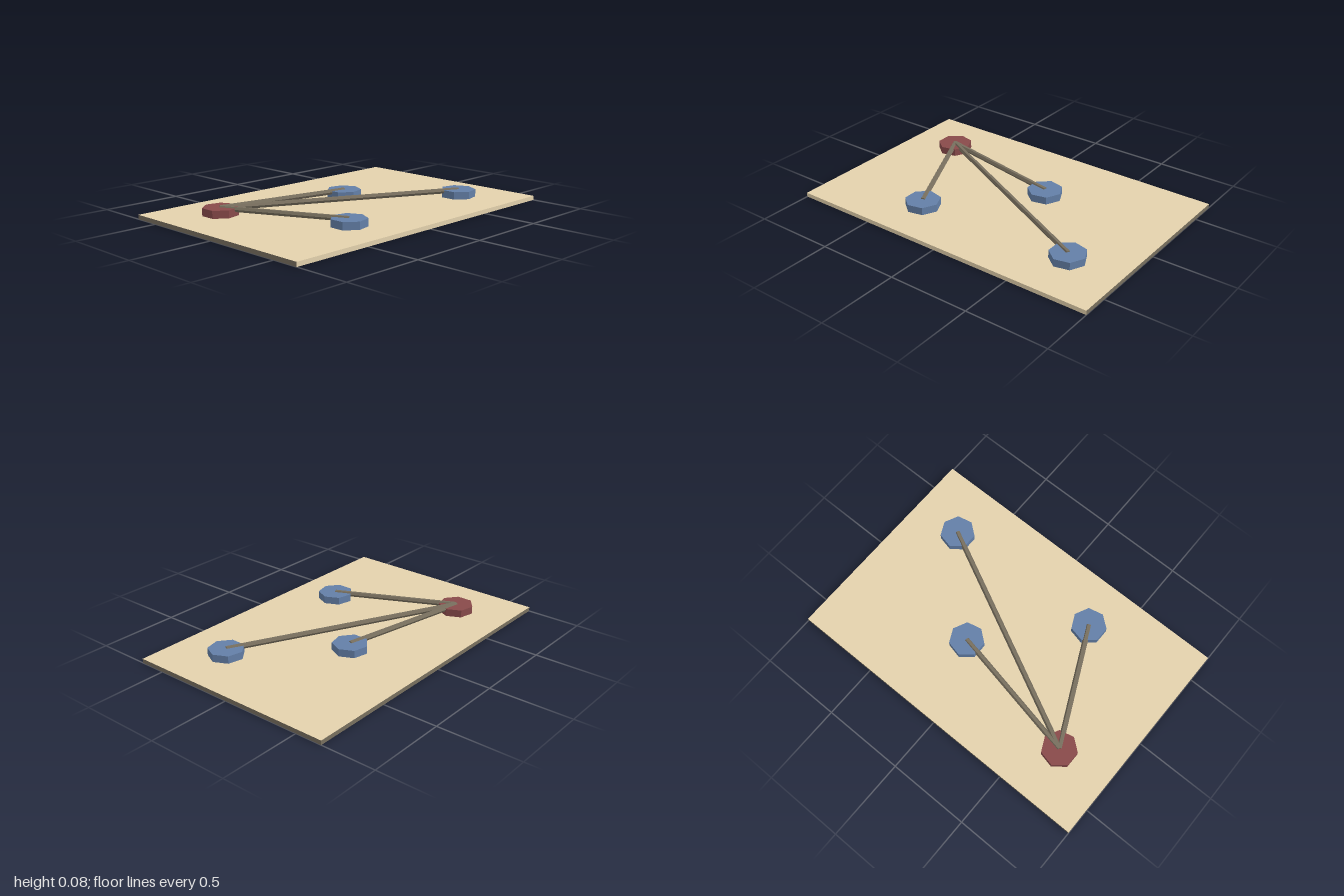
import * as THREE from 'three';

const flat = (name, color) => {
  const m = new THREE.MeshStandardMaterial({ color, flatShading: true });
  m.name = name;
  return m;
};

export function createModel() {
  const model = new THREE.Group();
  model.name = 'boardWithLinkedDiscs';

  const tan = flat('tan', 0xe4d2ad);
  const red = flat('dark red', 0x884a4a);
  const blue = flat('slate blue', 0x637fa7);
  const brown = flat('grey brown', 0x786f5e);

  const add = (name, geometry, material, x, y, z) => {
    const mesh = new THREE.Mesh(geometry, material);
    mesh.name = name;
    mesh.position.set(x, y, z);
    model.add(mesh);
    return mesh;
  };

  // Thin base board: tan top and front edge, brown underside and other edges
  const boardFaces = [brown, brown, tan, brown, tan, brown];
  add('board', new THREE.BoxGeometry(2, 0.026, 1.333), boardFaces, 0, 0.013, 0);

  // Seven-sided discs with one corner pointing to +x
  const disc = new THREE.CylinderGeometry(0.107, 0.107, 0.046, 7, 1, false, Math.PI / 2);
  const hub = [-0.667, -0.334];
  const ends = [[0.167, -0.167], [0.667, 0.333], [-0.334, 0.366]];
  add('hubDisc', disc, red, hub[0], 0.049, hub[1]);

  ends.forEach(([x, z], i) => {
    add(`endDisc${i + 1}`, disc, blue, x, 0.049, z);

    // Six-sided rod from the hub to the disc, flat side up
    const dx = x - hub[0];
    const dz = z - hub[1];
    const rod = new THREE.CylinderGeometry(0.0167, 0.0167, Math.hypot(dx, dz), 6, 1, false, Math.PI / 2);
    rod.rotateX(Math.PI / 2);
    const mesh = add(`rod${i + 1}`, rod, brown, (x + hub[0]) / 2, 0.065, (z + hub[1]) / 2);
    mesh.rotation.y = Math.atan2(dx, dz);
  });

  return model;
}
